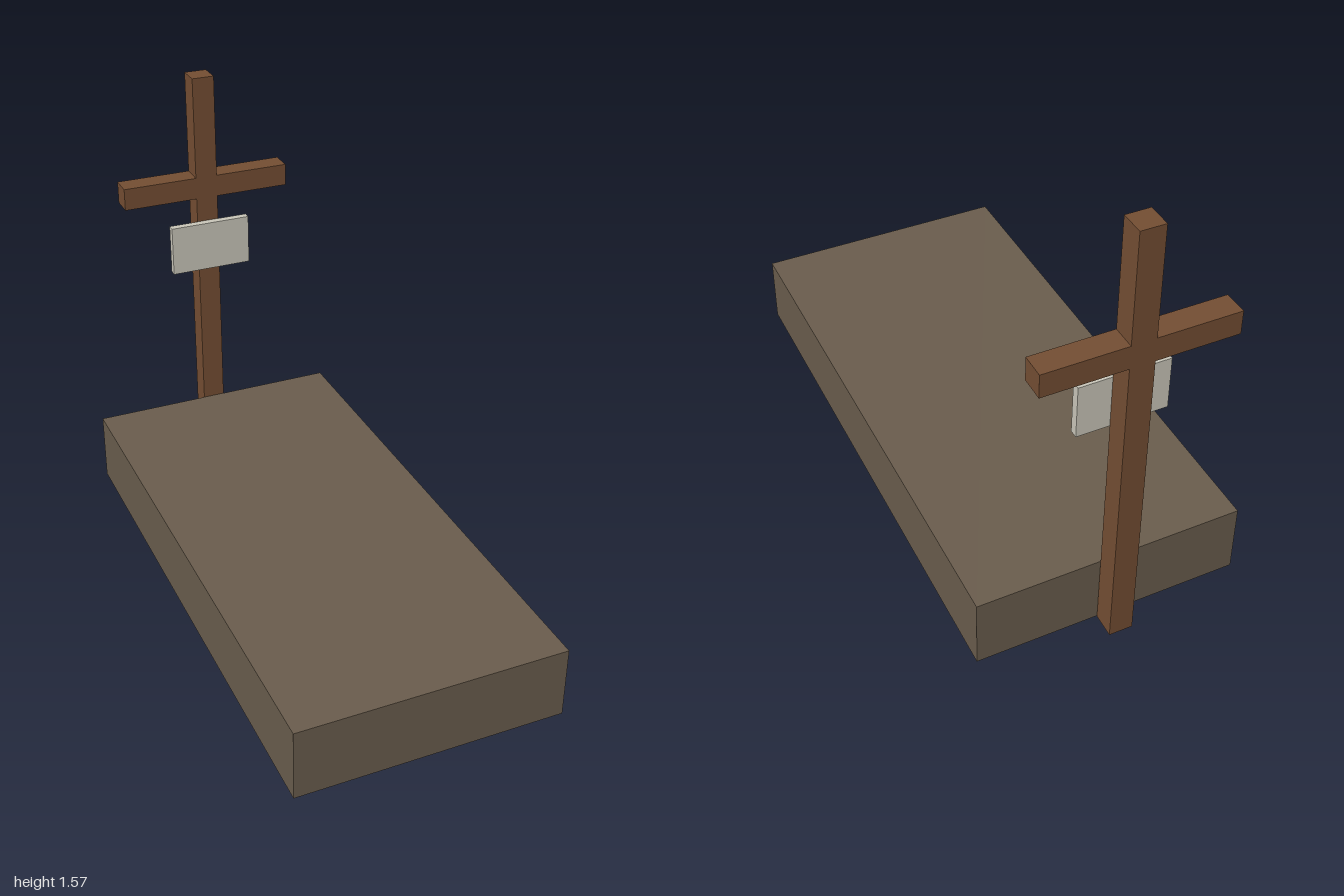
import * as THREE from 'three';

const earth = new THREE.MeshStandardMaterial({ name: 'earth', color: 0x6a5d4d });
const wood = new THREE.MeshStandardMaterial({ name: 'wood', color: 0x744e33 });
const stone = new THREE.MeshStandardMaterial({ name: 'paleStone', color: 0xcac7ba });

// Box given by its lower and upper limits on each axis
function block(name, material, [x0, x1], [y0, y1], [z0, z1]) {
  const mesh = new THREE.Mesh(new THREE.BoxGeometry(x1 - x0, y1 - y0, z1 - z0), material);
  mesh.position.set((x0 + x1) / 2, (y0 + y1) / 2, (z0 + z1) / 2);
  mesh.name = name;
  return mesh;
}

export function createModel() {
  const model = new THREE.Group();
  model.name = 'grave';

  // Earth mound
  model.add(block('mound', earth, [-0.465, 0.465], [0, 0.256], [-0.915, 1]));

  // Wooden cross: upright and two arms flush with its faces
  const depth = [-1, -0.918];
  const cross = new THREE.Group();
  cross.name = 'cross';
  cross.add(
    block('upright', wood, [-0.041, 0.041], [0, 1.572], depth),
    block('rightArm', wood, [-0.318, -0.041], [1.11, 1.192], depth),
    block('leftArm', wood, [0.041, 0.318], [1.11, 1.192], depth),
  );
  model.add(cross);

  // Blank plaque on the front of the upright
  model.add(block('plaque', stone, [-0.152, 0.152], [0.832, 1.018], [-0.918, -0.89]));

  return model;
}
